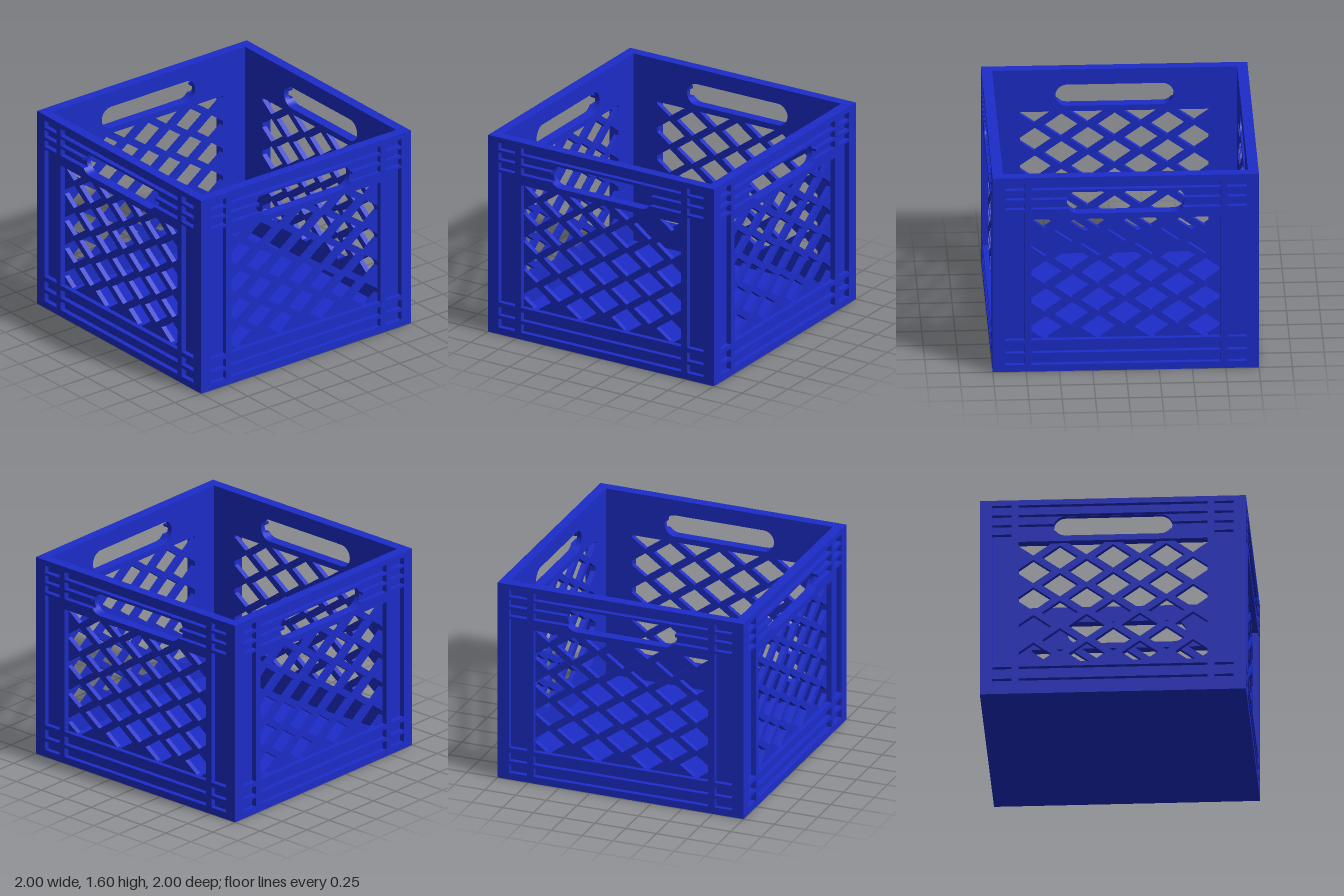
import * as THREE from 'three';

const OUT = 1, LAYER = 0.04, INNER = OUT - 2 * LAYER, HEIGHT = 1.6;
// Lattice window: half width, bottom, top
const WIN = { x: 0.71, y0: 0.258, y1: 1.255 };
// Hand hold: arc centre and radius
const GRIP = { x: 0.3575, y: 1.388, r: 0.0875 };

const pts = (list) => list.map(([x, y]) => new THREE.Vector2(x, y));
const path = (list) => new THREE.Path(pts(list));
const rect = (x0, x1, y0, y1) => [[x0, y0], [x1, y0], [x1, y1], [x0, y1]];

// One wall outline; each wall butts against the next around the crate
const wallShape = () => new THREE.Shape(pts(rect(-OUT, INNER, 0, HEIGHT)));

// Trim a convex polygon to one side of a line: sign * coordinate <= limit
function clip(poly, axis, sign, limit) {
  const out = [];
  poly.forEach((a, i) => {
    const b = poly[(i + 1) % poly.length];
    const da = sign * a[axis] - limit, db = sign * b[axis] - limit;
    if (da <= 0) out.push(a);
    if (da * db < 0) {
      const t = da / (da - db);
      out.push([a[0] + (b[0] - a[0]) * t, a[1] + (b[1] - a[1]) * t]);
    }
  });
  return out;
}

// Staggered diamond openings, trimmed to the window
function diamondHoles() {
  const holes = [], w = 0.135, h = 0.097, pitch = 0.1143;
  for (let row = 0; row <= 8; row++) {
    const y = 1.255 - row * pitch;
    for (let col = -3; col <= 3; col++) {
      if ((col + row) % 2 === 0) continue;
      const x = col * 0.2;
      let d = [[x - w, y], [x, y - h], [x + w, y], [x, y + h]];
      d = clip(d, 0, 1, WIN.x);
      d = clip(d, 0, -1, WIN.x);
      d = clip(d, 1, 1, WIN.y1);
      d = clip(d, 1, -1, -WIN.y0);
      if (d.length > 2) holes.push(path(d));
    }
  }
  return holes;
}

// Rounded slot through the inner skin
function gripHole() {
  const p = new THREE.Path();
  p.absarc(GRIP.x, GRIP.y, GRIP.r, -Math.PI / 2, Math.PI / 2, false);
  p.absarc(-GRIP.x, GRIP.y, GRIP.r, Math.PI / 2, Math.PI * 1.5, false);
  p.closePath();
  return p;
}

// Slot merged with the two long grooves it cuts through
function gripGrooveHole() {
  const right = [];
  const end = Math.asin((1.338 - GRIP.y) / GRIP.r);
  for (let i = 0; i <= 6; i++) {
    const a = -Math.PI / 2 + (end + Math.PI / 2) * i / 6;
    right.push([GRIP.x + GRIP.r * Math.cos(a), GRIP.y + GRIP.r * Math.sin(a)]);
  }
  right.push([WIN.x, 1.338], [WIN.x, 1.396], [0.4446, 1.396], [0.44, 1.418],
    [WIN.x, 1.418], [WIN.x, 1.477]);
  const left = right.map(([x, y]) => [-x, y]).reverse();
  return path([...right, ...left]);
}

function extrude(shape, holes) {
  shape.holes.push(...holes);
  return new THREE.ExtrudeGeometry(shape, { depth: LAYER, bevelEnabled: false, curveSegments: 16 });
}

// Outer skin: frame and ribs left standing between the grooves
function ribGeometry() {
  const holes = [gripGrooveHole(), path(rect(-WIN.x, WIN.x, WIN.y0, WIN.y1))];
  const longRows = [[0.055, 0.125], [0.152, 0.222], [1.498, 1.557]];
  const cornerRows = [...longRows, [WIN.y0, 1.317], [1.338, 1.396], [1.418, 1.477]];
  for (const [a, b] of longRows) holes.push(path(rect(-WIN.x, WIN.x, a, b)));
  for (const [a, b] of cornerRows) {
    holes.push(path(rect(-0.907, -0.762, a, b)), path(rect(0.762, 0.907, a, b)));
  }
  return extrude(wallShape(), holes);
}

export function createModel() {
  const crate = new THREE.Group();
  crate.name = 'crate';
  const plastic = new THREE.MeshStandardMaterial({ color: 0x1c2cc8 });
  const add = (parent, name, geometry, z) => {
    const mesh = new THREE.Mesh(geometry, plastic);
    mesh.name = name;
    mesh.position.z = z;
    parent.add(mesh);
    return mesh;
  };

  // Four identical walls
  const lattice = extrude(wallShape(), [...diamondHoles(), gripHole()]);
  const ribs = ribGeometry();
  ['frontWall', 'leftWall', 'backWall', 'rightWall'].forEach((name, i) => {
    const wall = new THREE.Group();
    wall.name = name;
    add(wall, 'latticePanel', lattice, INNER);
    add(wall, 'ribbedFrame', ribs, INNER + LAYER);
    wall.rotation.y = i * Math.PI / 2;
    crate.add(wall);
  });

  // Solid floor between the walls
  const floor = add(crate, 'floor', new THREE.BoxGeometry(2 * INNER, 0.08, 2 * INNER), 0);
  floor.position.y = 0.04;
  return crate;
}
